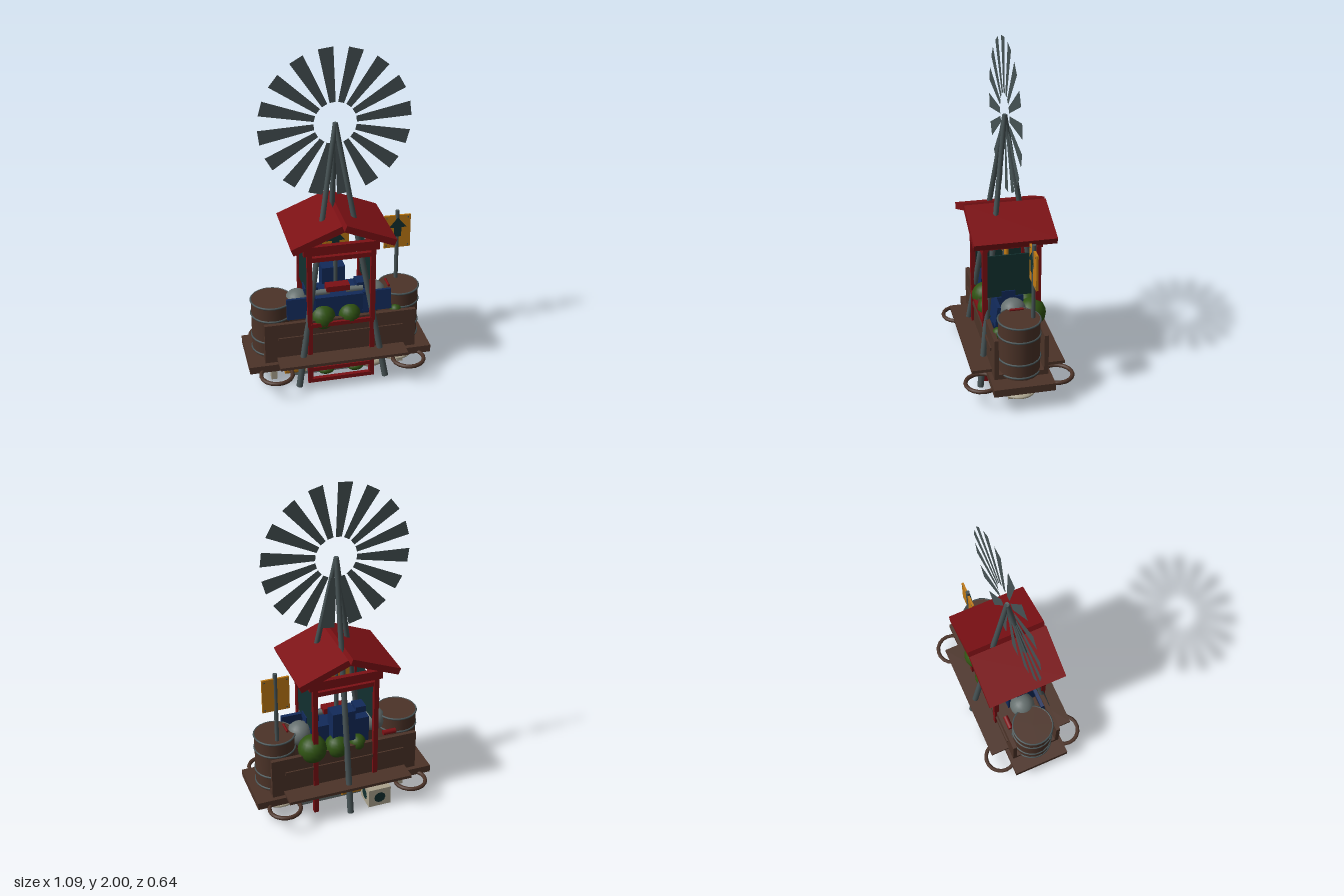
import * as THREE from 'three';

export function createModel() {
  const root = new THREE.Group();
  const mat = (name, color, extra = {}) => {
    const m = new THREE.MeshStandardMaterial({ color, ...extra });
    m.name = name;
    return m;
  };
  const wood = mat('wood', 0x4c3328);
  const red = mat('red paint', 0x7c1014);
  const steel = mat('steel', 0x465254, { side: THREE.DoubleSide });
  const teal = mat('dark teal', 0x12302f, { side: THREE.DoubleSide });
  const orange = mat('orange', 0xc07a14);
  const blue = mat('blue', 0x122a5a);
  const green = mat('green', 0x2f5212);
  const cream = mat('cream', 0xaca48e);
  const stone = mat('grey stone', 0x66706f);

  const add = (name, geo, m, x = 0, y = 0, z = 0, parent = root) => {
    const mesh = new THREE.Mesh(geo, m);
    mesh.name = name;
    mesh.position.set(x, y, z);
    parent.add(mesh);
    return mesh;
  };
  const box = (name, m, w, h, d, x, y, z) => add(name, new THREE.BoxGeometry(w, h, d), m, x, y, z);
  const ball = (name, m, r, x, y, z, sx = 1, sy = 1, sz = 1) => {
    const b = add(name, new THREE.SphereGeometry(r, 18, 12), m, x, y, z);
    b.scale.set(sx, sy, sz);
    return b;
  };
  // Round bar between two points
  const rod = (name, m, a, b, ra, rb = ra) => {
    const p = new THREE.Vector3(...a), q = new THREE.Vector3(...b);
    const dir = q.clone().sub(p);
    const mesh = add(name, new THREE.CylinderGeometry(rb, ra, dir.length(), 10), m);
    mesh.position.copy(p).add(q).multiplyScalar(0.5);
    mesh.quaternion.setFromUnitVectors(new THREE.Vector3(0, 1, 0), dir.normalize());
    return mesh;
  };

  // Wind wheel: sixteen flat tapering blades
  const wheel = new THREE.Group();
  wheel.name = 'windWheel';
  wheel.position.y = 1.57;
  root.add(wheel);
  const bladeShape = new THREE.Shape([[0.12, -0.017], [0.428, -0.042], [0.428, 0.042], [0.12, 0.017]]
    .map(p => new THREE.Vector2(...p)));
  const bladeGeo = new THREE.ShapeGeometry(bladeShape);
  for (let i = 0; i < 16; i++) {
    add('blade', bladeGeo, steel, 0, 0, 0, wheel).rotation.z = (7 + i * 22.5) * Math.PI / 180;
  }

  // Tripod tower
  for (const [x, z] of [[0.26, 0.2], [-0.26, 0.2], [0, -0.25]]) {
    rod('towerLeg', steel, [x, 0.01, z], [0, 1.57, 0], 0.019, 0.014);
  }

  // Roof and its frame
  for (const s of [-1, 1]) {
    box('roofSlab', red, 0.31, 0.04, 0.47, s * 0.15, 0.98, 0).rotation.z = -s * 0.385;
    box('eavesBeam', red, 0.44, 0.055, 0.03, 0, 0.882, s * 0.155);
    box('sideBeam', red, 0.03, 0.055, 0.34, s * 0.185, 0.882, 0);
    box('upperRail', red, 0.36, 0.028, 0.024, 0, 0.825, s * 0.155);
    for (const t of [-1, 1]) box('post', red, 0.028, 0.86, 0.028, s * 0.185, 0.43, t * 0.155);
    box('sidePanel', teal, 0.008, 0.26, 0.28, s * 0.185, 0.68, 0);
  }
  for (const y of [0.395, 0.093, 0.015]) box('frontRail', red, 0.36, 0.025, 0.024, 0, y, 0.16);

  // Decks and wagon walls
  box('lowerDeck', wood, 1.09, 0.045, 0.35, 0, 0.142, 0);
  box('upperDeck', wood, 0.76, 0.018, 0.54, 0, 0.19, 0);
  box('wagonFloor', wood, 0.9, 0.03, 0.31, 0, 0.185, 0);
  for (const s of [-1, 1]) {
    box('sideWall', wood, 0.9, 0.23, 0.025, 0, 0.305, s * 0.143);
    box('wallStrip', wood, 0.74, 0.018, 0.012, 0, 0.323, s * 0.158);
  }

  // Barrels with hoops, and rope rings at the corners
  for (const s of [-1, 1]) {
    const x = s * 0.383;
    add('barrel', new THREE.CylinderGeometry(0.119, 0.119, 0.335, 18), wood, x, 0.345, 0);
    for (const y of [0.508, 0.42, 0.275, 0.193]) {
      add('barrelHoop', new THREE.TorusGeometry(0.12, 0.006, 6, 24), steel, x, y, 0).rotation.x = Math.PI / 2;
    }
    for (const t of [-1, 1]) {
      add('cornerRing', new THREE.TorusGeometry(0.092, 0.012, 8, 18), wood, s * 0.395, 0.125, t * 0.218).rotation.x = Math.PI / 2;
    }
  }

  // Signs on poles
  const arrow = new THREE.Shape([[0, 0.095], [-0.055, 0.03], [-0.022, 0.03], [-0.022, -0.03],
    [0.022, -0.03], [0.022, 0.03], [0.055, 0.03]].map(p => new THREE.Vector2(...p)));
  for (const [x, z, foot] of [[0.39, -0.078, 0.5], [0, 0, 0.45]]) {
    box('signBoard', orange, 0.16, 0.21, 0.012, x, 0.825, z);
    rod('signPole', steel, [x, foot, z], [x, 0.96, z], 0.012);
    add('signArrow', new THREE.ShapeGeometry(arrow), teal, x, 0.825, z + 0.014);
    for (const s of [-1, 1]) {
      for (const t of [-1, 1]) box('signBolt', steel, 0.008, 0.008, 0.016, x + s * 0.065, 0.825 + t * 0.09, z);
    }
  }

  // Cargo: crates, domes, sacks and tools
  box('mainCrate', blue, 0.36, 0.2, 0.18, 0, 0.44, 0.02);
  box('backCrate', blue, 0.14, 0.2, 0.09, 0, 0.545, -0.09);
  for (const s of [-1, 1]) {
    box('crateFlap', blue, 0.17, 0.125, 0.02, s * 0.225, 0.485, 0.105).rotation.x = -0.12;
    box('smallCrate', blue, 0.08, 0.04, 0.08, s * 0.155, 0.565, 0.02);
    ball('metalDome', stone, 0.075, s * 0.23, 0.475, 0);
    rod('pipe', stone, [s * 0.05, 0.55, 0.06], [s * 0.15, 0.55, 0.06], 0.018);
  }
  box('redToolBox', red, 0.14, 0.035, 0.06, 0, 0.572, 0.05);
  rod('redHandle', red, [0.315, 0.53, -0.04], [0.315, 0.53, 0.04], 0.007);
  rod('redTool', red, [-0.33, 0.44, -0.12], [-0.25, 0.44, -0.12], 0.016);
  for (const [r, x, y, z] of [[0.078, -0.1, 0.41, 0.1], [0.065, 0.06, 0.415, 0.11], [0.035, 0.34, 0.405, 0.11],
    [0.085, 0.19, 0.43, -0.115], [0.072, 0.04, 0.42, -0.12], [0.05, -0.09, 0.41, -0.115]]) {
    ball('greenSack', green, r, x, y, z);
  }

  // Machinery under the deck
  box('bellyPlate', stone, 0.56, 0.02, 0.2, 0, 0.03, 0);
  box('bellyBlock', blue, 0.86, 0.06, 0.14, -0.02, 0.095, 0);
  for (let i = 0; i < 4; i++) {
    for (const s of [-1, 1]) box('plateRib', steel, 0.03, 0.008, 0.03, -0.21 + i * 0.14, 0.018, s * 0.06);
  }
  ball('creamTank', cream, 0.11, 0.37, 0.045, 0, 1, 0.23, 0.95);
  for (const [x, z] of [[-0.39, 0.06], [-0.39, -0.06], [0.39, 0.04]]) box('creamFoot', cream, 0.035, 0.12, 0.05, x, 0.06, z);
  for (const [x, z] of [[-0.27, 0.1], [0, 0.1], [0.12, 0.1], [-0.05, -0.11]]) {
    rod('orangeCanister', orange, [x - 0.06, 0.08, z], [x + 0.06, 0.08, z], 0.035);
  }
  ball('greenPod', green, 0.04, -0.08, 0.04, 0.11, 1.2, 0.6, 0.8);
  ball('greenPod', green, 0.04, 0.1, 0.04, 0.11, 1.2, 0.6, 0.8);
  ball('creamPod', cream, 0.05, 0.2, 0.045, 0.1, 1.4, 0.5, 0.6);

  // Cream vent box with round openings
  box('ventBox', cream, 0.14, 0.12, 0.13, -0.19, 0.065, -0.175);
  const vent = new THREE.CircleGeometry(0.036, 10);
  add('ventHole', vent, teal, -0.19, 0.065, -0.242).rotation.y = Math.PI;
  for (const s of [-1, 1]) add('ventHole', vent, teal, -0.19 + s * 0.072, 0.065, -0.175).rotation.y = s * Math.PI / 2;
  add('ventHole', vent, teal, -0.19, 0.003, -0.175).rotation.x = Math.PI / 2;

  return root;
}
